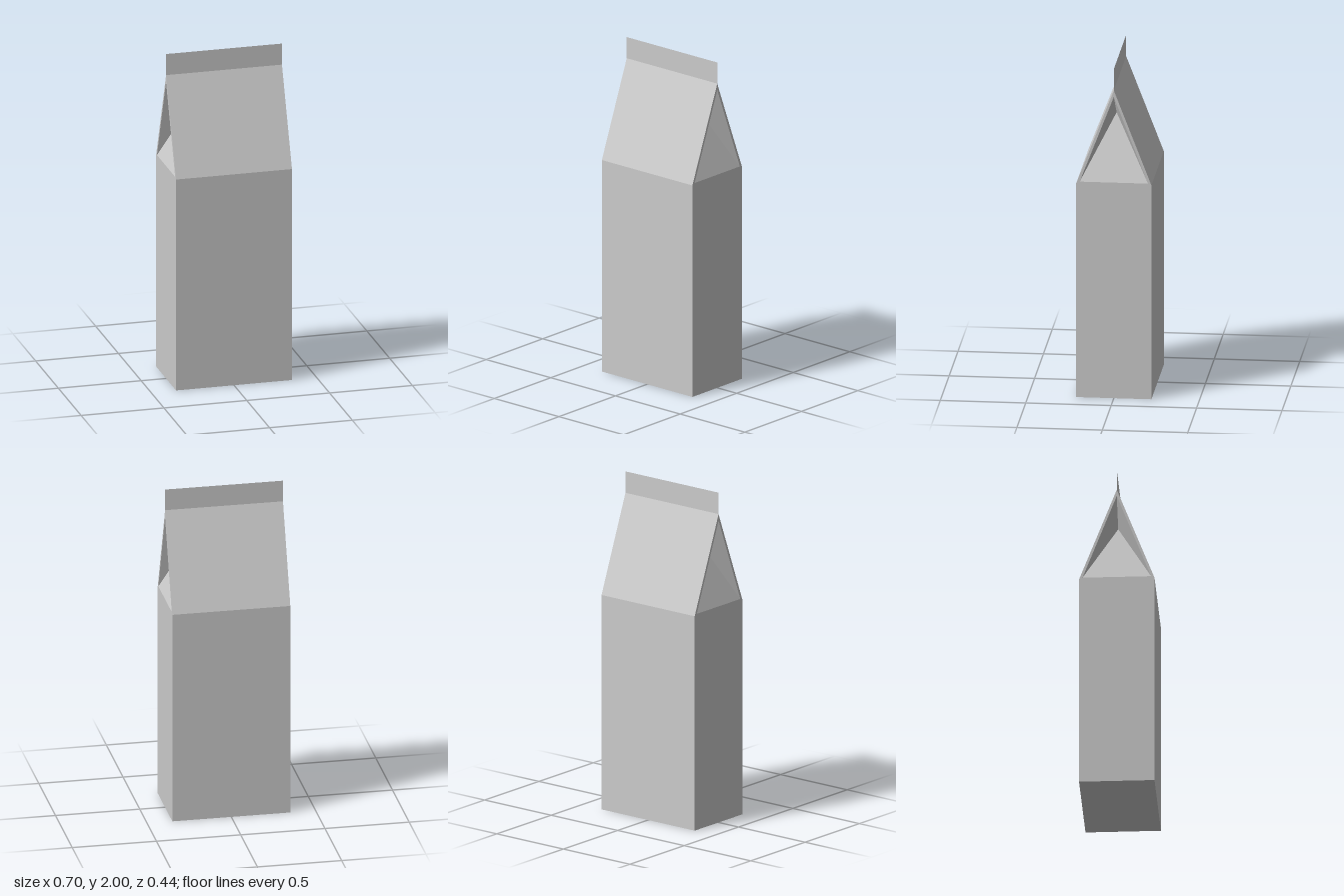
import * as THREE from 'three';

const X = 0.35, Z = 0.22;            // half width, half depth
const EAVE = 1.3, RIDGE = 1.87, TOP = 2;

const material = new THREE.MeshStandardMaterial({ color: 0xcccccc, flatShading: true });
const thinMaterial = new THREE.MeshStandardMaterial({ color: 0xcccccc, flatShading: true, side: THREE.DoubleSide });

// Flat-shaded mesh from convex polygons, corners counter-clockwise from outside
function panels(name, polygons) {
  const positions = [];
  for (const p of polygons)
    for (let i = 1; i < p.length - 1; i++) positions.push(...p[0], ...p[i], ...p[i + 1]);
  const geometry = new THREE.BufferGeometry();
  geometry.setAttribute('position', new THREE.Float32BufferAttribute(positions, 3));
  geometry.computeVertexNormals();
  const mesh = new THREE.Mesh(geometry, material);
  mesh.name = name;
  return mesh;
}

// Front wall, one roof slope and one folded gable end
function createHalf() {
  const half = new THREE.Group();

  half.add(panels('wall', [[[-X, 0, Z], [X, 0, Z], [X, EAVE, Z], [-X, EAVE, Z]]]));
  half.add(panels('roofSlope', [[[-X, EAVE, Z], [X, EAVE, Z], [X, RIDGE, 0], [-X, RIDGE, 0]]]));

  const eaveFront = [X, EAVE, Z], eaveBack = [X, EAVE, -Z], ridge = [X, RIDGE, 0];
  const innerFront = [X, 1.31, 0.2], innerBack = [X, 1.31, -0.2], innerRidge = [X, 1.83, 0];
  const tuck = [X - 0.16, 1.69, 0];  // point where the gable folds inwards

  half.add(panels('endWall', [[[X, 0, Z], [X, 0, -Z], eaveBack, innerBack, innerFront, eaveFront]]));
  half.add(panels('gableRim', [
    [eaveFront, innerFront, innerRidge, ridge],
    [eaveBack, ridge, innerRidge, innerBack],
  ]));
  half.add(panels('gableFold', [
    [innerFront, innerBack, tuck],
    [innerFront, tuck, innerRidge],
    [innerBack, innerRidge, tuck],
  ]));
  return half;
}

export function createModel() {
  const carton = new THREE.Group();
  carton.name = 'carton';

  // The second half is the first turned round
  const front = createHalf();
  front.name = 'frontHalf';
  const back = createHalf();
  back.name = 'backHalf';
  back.rotation.y = Math.PI;
  carton.add(front, back);

  carton.add(panels('base', [[[-X, 0, -Z], [X, 0, -Z], [X, 0, Z], [-X, 0, Z]]]));

  // Flat sealed strip standing on the ridge
  const seal = new THREE.Mesh(new THREE.PlaneGeometry(2 * X, TOP - RIDGE), thinMaterial);
  seal.name = 'topSeal';
  seal.position.y = (TOP + RIDGE) / 2;
  carton.add(seal);

  return carton;
}
